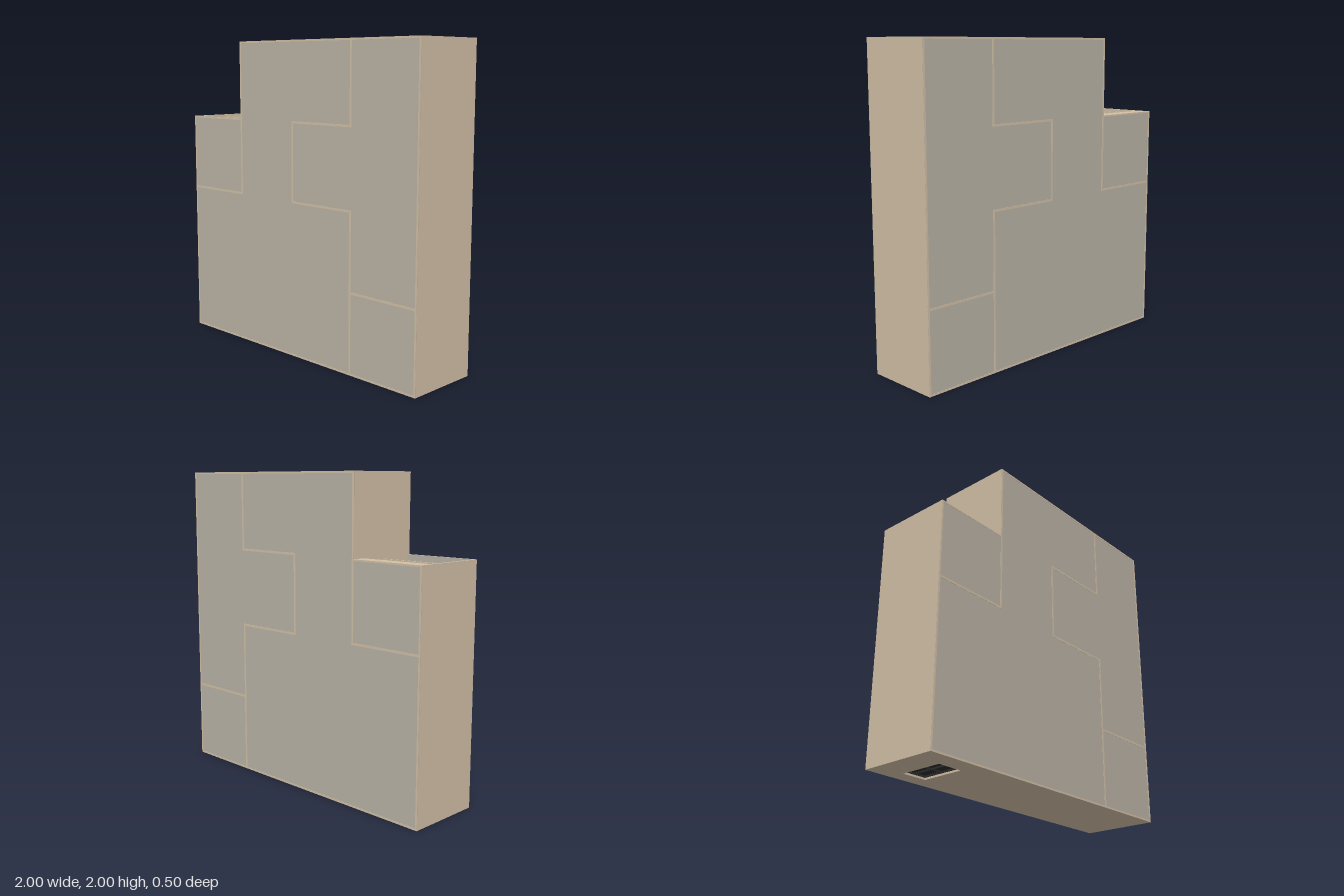
import * as THREE from 'three';

const mat = (color) => new THREE.MeshStandardMaterial({ color });
const tan = mat(0xd2bfa6);
const grey = mat(0xbab3a5);
const glass = mat(0x7fd2cc);
const dark = mat(0x2c2c2c);
const Z = 0.247; // half depth of the core; the trim reaches 0.25

export function createModel() {
  const model = new THREE.Group();

  // Box given by its limits on each axis
  function box(name, material, x0, x1, y0, y1, z0, z1, parent = model) {
    const m = new THREE.Mesh(new THREE.BoxGeometry(x1 - x0, y1 - y0, z1 - z0), material);
    m.position.set((x0 + x1) / 2, (y0 + y1) / 2, (z0 + z1) / 2);
    m.name = name;
    parent.add(m);
    return m;
  }

  // Wall slab lying across y, with rectangular openings [x0, x1, z0, z1]
  function slab(name, x0, x1, y0, y1, holes) {
    const rect = (P, a, b, c, d) => {
      const p = new P();
      p.moveTo(a, -d);
      p.lineTo(b, -d);
      p.lineTo(b, -c);
      p.lineTo(a, -c);
      p.closePath();
      return p;
    };
    const shape = rect(THREE.Shape, x0, x1, -Z, Z);
    holes.forEach((h) => shape.holes.push(rect(THREE.Path, ...h)));
    const geo = new THREE.ExtrudeGeometry(shape, { depth: y1 - y0, bevelEnabled: false });
    geo.rotateX(-Math.PI / 2);
    const m = new THREE.Mesh(geo, tan);
    m.position.y = y0;
    m.name = name;
    model.add(m);
  }

  // Panes split by dark bars, framed all round; y is the wall behind the glass
  function windowUnit(name, [x0, x1, z0, z1], y, splits, bar) {
    const g = new THREE.Group();
    g.name = name;
    model.add(g);
    box('glass', glass, x0, x1, y, y + 0.004, z0, z1, g);
    splits.forEach((x) => box('mullion', dark, x - bar / 2, x + bar / 2, y, y + 0.008, z0, z1, g));
    for (const x of [x0, x1 - bar]) box('frameSide', dark, x, x + bar, y, y + 0.01, z0, z1, g);
    for (const z of [z0, z1 - bar]) box('frameEnd', dark, x0, x1, y, y + 0.01, z, z + bar, g);
  }

  // Main volumes
  const smallWindow = [-0.46, -0.04, 0, 0.125];
  const wideWindows = [[0.04, 0.45, -0.15, 0.125], [0.535, 0.945, -0.15, 0.125]];
  const door = [-0.82, -0.66, -0.15, 0.125];
  box('tallBlock', tan, -0.5, 1, 0.03, 1.97, -Z, Z);
  box('lowBlock', tan, -1, -0.5, 0.03, 1, -Z, Z);
  slab('windowWall', -0.5, 1, 1.97, 2, [smallWindow, ...wideWindows]);
  slab('doorWall', -1, 1, 0, 0.03, [door]);

  // Windows in the upper wall
  windowUnit('smallWindow', smallWindow, 1.97, [-0.355, -0.25, -0.145], 0.008);
  wideWindows.forEach((w) =>
    windowUnit('wideWindow', w, 1.97, [w[0] + 0.098, w[1] - 0.097], 0.005));

  // Open balcony bay with its glazing and railing
  box('balconyFloor', tan, -1, -0.5, 1, 1.5, -Z, -0.16);
  box('balconyFloorFinish', grey, -0.985, -0.5, 1, 1.499, -0.16, -0.157);
  box('balconySideWall', tan, -1, -0.985, 1, 1.5, -Z, Z);
  box('balconyRoof', grey, -0.985, -0.5, 1, 1.5, 0.235, Z);
  windowUnit('balconyWindow', [-0.95, -0.53, -0.15, 0.125], 1, [-0.845, -0.74, -0.635], 0.008);
  const railing = new THREE.Group();
  railing.name = 'railing';
  model.add(railing);
  for (const z of [-0.157, 0.014]) box('rail', tan, -0.985, -0.505, 1.48, 1.487, z, z + 0.006, railing);
  for (let i = 0; i <= 16; i++) {
    const x = -0.98 + i * 0.029;
    box('baluster', tan, x - 0.002, x + 0.002, 1.481, 1.486, -0.157, 0.02, railing);
  }

  // Recessed door in the underside
  box('door', dark, door[0], door[1], 0.022, 0.03, door[2], door[3]);
  for (const x of [-0.82, -0.743, -0.666]) box('doorStile', dark, x, x + 0.006, 0.012, 0.024, -0.15, 0.125);
  for (const z of [-0.15, -0.02, 0.119]) box('doorRail', dark, -0.82, -0.66, 0.012, 0.024, z, z + 0.006);

  // Stepped grey cladding and raised trim on both broad faces
  const outline = [[-1, 0], [1, 0], [1, 2], [-0.5, 2], [-0.5, 1.5], [-1, 1.5]];
  const cladding = new THREE.ExtrudeGeometry(
    new THREE.Shape(outline.map(([x, y]) => new THREE.Vector2(x, y))),
    { depth: 0.0015, bevelEnabled: false });
  const trims = [
    // outer border: x0, x1, y0, y1
    [-1, 1, 0, 0.012], [-1, -0.988, 0, 1.5], [0.988, 1, 0, 2],
    [-0.5, 1, 1.988, 2], [-1, -0.5, 1.49, 1.5],
    // joints between the interlocking units
    [-0.5, -0.486, 1, 2], [-1, -0.486, 0.998, 1.012],
    [0.486, 0.5, 1.493, 2], [-0.008, 0.5, 1.493, 1.507],
    [-0.008, 0.006, 0.993, 1.507], [-0.008, 0.5, 0.993, 1.007],
    [0.486, 0.5, 0, 1.007], [0.486, 1, 0.503, 0.517],
  ];
  for (const s of [1, -1]) {
    const side = s > 0 ? 'front' : 'back';
    const panel = new THREE.Mesh(cladding, grey);
    panel.name = side + 'Cladding';
    panel.position.z = s > 0 ? Z : -Z - 0.0015;
    model.add(panel);
    const z0 = s > 0 ? Z : -0.25;
    trims.forEach(([a, b, c, d]) => box(side + 'Trim', tan, a, b, c, d, z0, z0 + 0.003));
  }
  return model;
}
